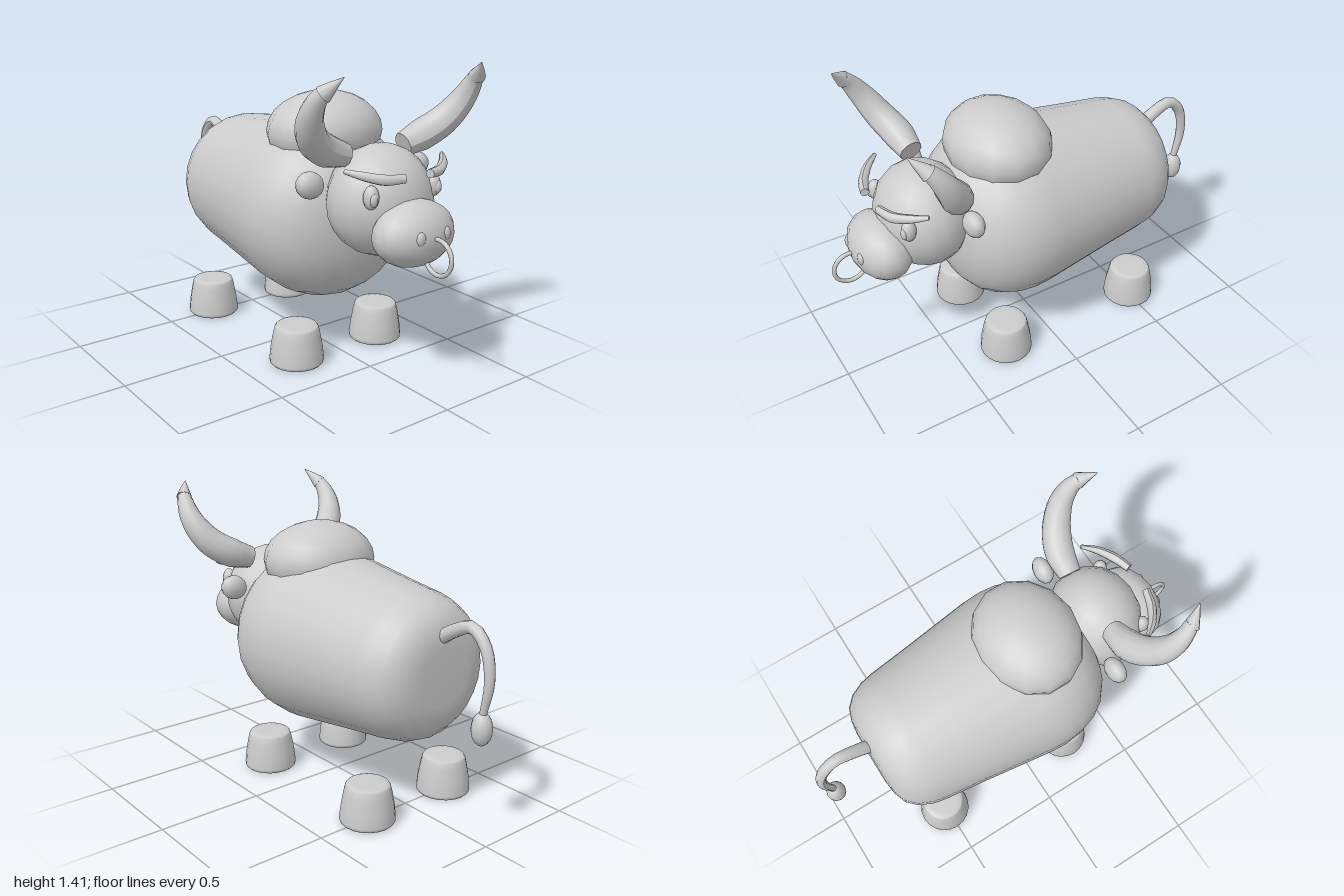
import * as THREE from 'three';

export function createModel() {
  const model = new THREE.Group();
  const clay = new THREE.MeshStandardMaterial({ color: 0xcccccc });
  clay.name = 'clay grey';

  const add = (name, geometry, x = 0, y = 0, z = 0) => {
    const mesh = new THREE.Mesh(geometry, clay);
    mesh.name = name;
    mesh.position.set(x, y, z);
    model.add(mesh);
    return mesh;
  };
  const ball = (name, [x, y, z], [rx, ry, rz], w = 16, h = 12) =>
    add(name, new THREE.SphereGeometry(1, w, h).scale(rx, ry, rz), x, y, z);
  const lathe = (pts, sides) =>
    new THREE.LatheGeometry(pts.map(p => new THREE.Vector2(...p)), sides);

  // Tube whose radius is interpolated along the path, with closed ends
  const taper = (name, path, radii, steps, sides) => {
    const curve = new THREE.CatmullRomCurve3(path.map(p => new THREE.Vector3(...p)));
    const geo = new THREE.TubeGeometry(curve, steps, 1, sides);
    const pos = geo.attributes.position, v = new THREE.Vector3();
    for (let i = 0; i <= steps; i++) {
      const c = curve.getPointAt(i / steps);
      const f = (i / steps) * (radii.length - 1);
      const k = Math.min(Math.floor(f), radii.length - 2);
      const r = THREE.MathUtils.lerp(radii[k], radii[k + 1], f - k);
      for (let j = 0; j <= sides; j++) {
        const n = i * (sides + 1) + j;
        v.fromBufferAttribute(pos, n).sub(c).multiplyScalar(r).add(c);
        pos.setXYZ(n, v.x, v.y, v.z);
      }
    }
    geo.computeVertexNormals();
    add(name, geo);
    [0, 1].forEach(t => {
      const r = radii[t ? radii.length - 1 : 0];
      if (r < 0.004) return;
      const dir = curve.getTangentAt(t).multiplyScalar(t ? 1 : -1);
      const cap = add(name + 'End', new THREE.CircleGeometry(r, sides), ...curve.getPointAt(t));
      cap.quaternion.setFromUnitVectors(new THREE.Vector3(0, 0, 1), dir);
    });
  };

  // Barrel body, turned around the long axis
  const body = add('body', lathe([
    [0, -0.72], [0.14, -0.72], [0.2, -0.712], [0.26, -0.69], [0.305, -0.645],
    [0.335, -0.58], [0.348, -0.52], [0.372, -0.33], [0.423, 0.04], [0.428, 0.12],
    [0.42, 0.2], [0.395, 0.28], [0.35, 0.35], [0.285, 0.405], [0.2, 0.442],
    [0.1, 0.46], [0, 0.465],
  ], 24), 0, 0.69, 0);
  body.rotation.z = -Math.PI / 2;
  ball('shoulderHump', [0.142, 1.06, 0], [0.243, 0.185, 0.285], 14, 12);

  // Head and muzzle
  ball('head', [0.54, 0.817, 0], [0.22, 0.248, 0.25], 16, 12);
  ball('muzzle', [0.757, 0.72, 0], [0.14, 0.145, 0.202], 16, 12);
  add('noseRing', new THREE.TorusGeometry(0.077, 0.01, 8, 28), 0.908, 0.652, 0);

  for (const s of [1, -1]) {
    const side = s > 0 ? 'Right' : 'Left';
    // Face details
    ball('nostril' + side, [0.877, 0.735, s * 0.07], [0.016, 0.032, 0.024], 12, 8);
    ball('eye' + side, [0.685, 0.885, s * 0.175], [0.034, 0.052, 0.034], 14, 10);
    ball('pupil' + side, [0.709, 0.88, s * 0.18], [0.016, 0.03, 0.019], 12, 8);
    taper('eyebrow' + side, [
      [0.63, 1.0, s * 0.275], [0.69, 0.985, s * 0.225],
      [0.745, 0.968, s * 0.15], [0.772, 0.968, s * 0.07],
    ], [0.01, 0.02, 0.024, 0.02], 10, 8);
    ball('ear' + side, [0.438, 0.905, s * 0.305], [0.045, 0.06, 0.07], 12, 8)
      .rotation.x = s * -0.35;

    // Curved horn and its pointed tip
    taper('horn' + side, [
      [0.495, 1.03, s * 0.17], [0.505, 1.068, s * 0.28], [0.545, 1.13, s * 0.37],
      [0.6, 1.225, s * 0.425], [0.655, 1.31, s * 0.43], [0.69, 1.35, s * 0.415],
    ], [0.055, 0.072, 0.07, 0.062, 0.048, 0.03], 16, 12);
    taper('hornTip' + side, [
      [0.68, 1.335, s * 0.422], [0.712, 1.368, s * 0.4], [0.747, 1.405, s * 0.373],
    ], [0.038, 0.02, 0.001], 4, 12);

    // Detached hooves
    for (const [end, x] of [['front', 0.25], ['rear', -0.507]])
      add(end + 'Hoof' + side, lathe([
        [0, 0], [0.118, 0], [0.12, 0.001], [0.127, 0.008], [0.128, 0.02], [0.122, 0.08],
        [0.11, 0.145], [0.103, 0.175], [0.096, 0.185], [0.07, 0.188], [0, 0.188],
      ], 20), x, 0, s * 0.24);
  }

  // Tail with tuft
  taper('tail', [
    [-0.69, 0.86, 0], [-0.77, 0.91, 0], [-0.87, 0.945, 0],
    [-0.945, 0.875, 0], [-0.972, 0.74, 0], [-0.945, 0.585, 0],
  ], [0.032, 0.03, 0.027, 0.025, 0.022, 0.016], 16, 10);
  ball('tailTuft', [-0.943, 0.525, 0], [0.047, 0.075, 0.047], 12, 10);

  return model;
}
